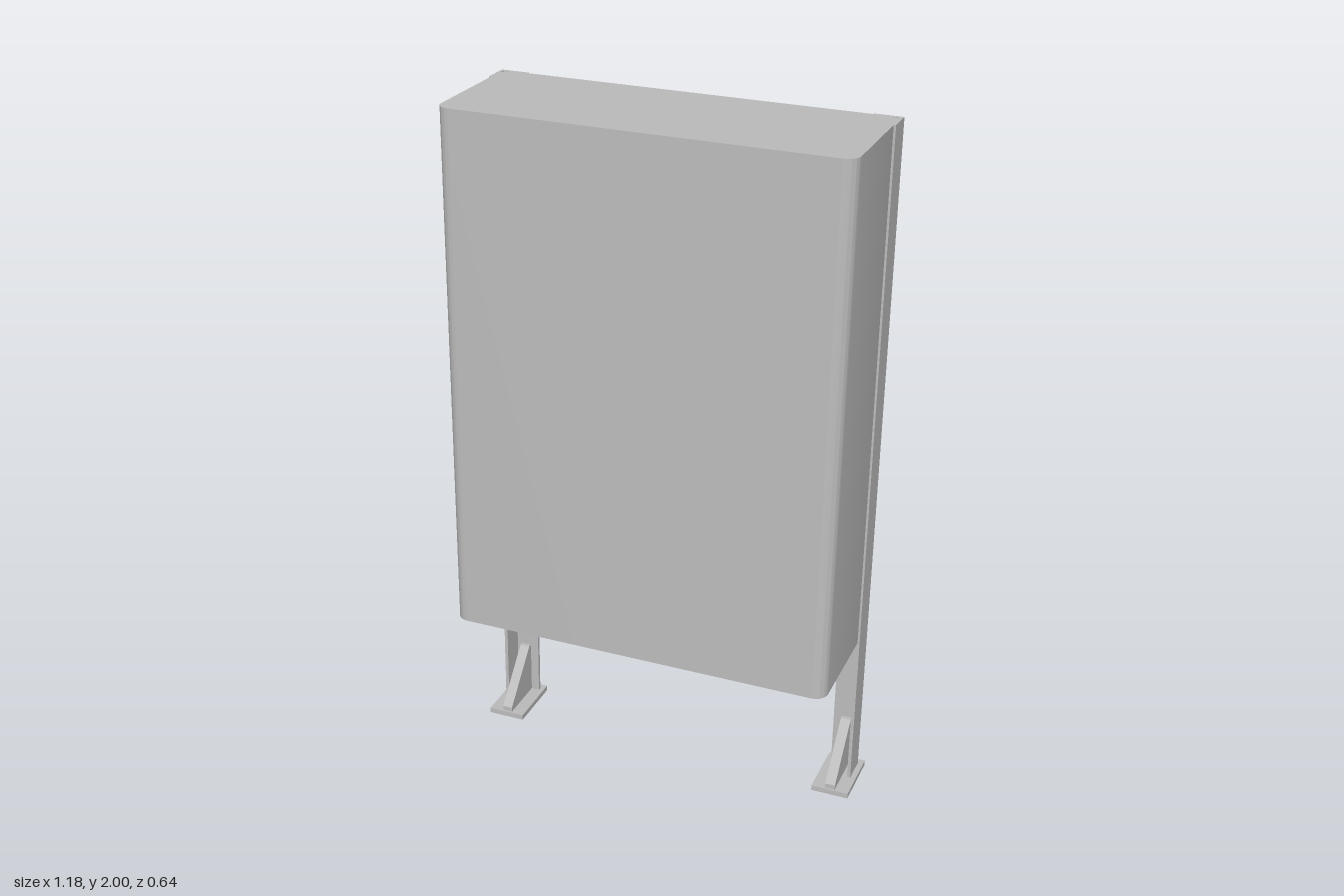
import * as THREE from 'three';
import { toCreasedNormals } from 'three/addons/utils/BufferGeometryUtils.js';

export function createModel() {
  const grey = new THREE.MeshStandardMaterial({ color: 0xbcbcbc });
  grey.name = 'light grey';

  const add = (parent, name, geometry) => {
    const mesh = new THREE.Mesh(geometry, grey);
    mesh.name = name;
    parent.add(mesh);
    return mesh;
  };

  // Extrude a plan outline (x, -z) upwards from y0 to y1.
  const upright = (shape, y0, y1) => {
    const g = new THREE.ExtrudeGeometry(shape, { depth: y1 - y0, bevelEnabled: false, curveSegments: 8 });
    g.rotateX(-Math.PI / 2);
    g.translate(0, y0, 0);
    return toCreasedNormals(g, 0.6);
  };

  const polygon = (points) => new THREE.Shape(points.map(([x, y]) => new THREE.Vector2(x, y)));

  const stand = new THREE.Group();
  stand.name = 'cabinetOnLegs';

  // Cabinet: rounded vertical edges, sharp top and bottom
  const W = 0.555, back = -0.148, front = 0.247, r = 0.037;
  const plan = new THREE.Shape();
  plan.moveTo(-W + r, -front);
  plan.lineTo(W - r, -front);
  plan.absarc(W - r, -front + r, r, -Math.PI / 2, 0);
  plan.lineTo(W, -back - r);
  plan.absarc(W - r, -back - r, r, 0, Math.PI / 2);
  plan.lineTo(-W + r, -back);
  plan.absarc(-W + r, -back - r, r, Math.PI / 2, Math.PI);
  plan.lineTo(-W, -front + r);
  plan.absarc(-W + r, -front + r, r, Math.PI, Math.PI * 1.5);
  add(stand, 'cabinet', upright(plan, 0.486, 1.992));

  // Legs: angle profile, foot plate and gusset on each side
  const outer = 0.561, flange = 0.08, t = 0.01, legBack = 0.154;
  for (const s of [-1, 1]) {
    const leg = new THREE.Group();
    leg.name = s > 0 ? 'leftLeg' : 'rightLeg';
    stand.add(leg);

    const angle = polygon([
      [s * outer, legBack],
      [s * (outer - flange), legBack],
      [s * (outer - flange), legBack - t],
      [s * (outer - t), legBack - t],
      [s * (outer - t), legBack - flange],
      [s * outer, legBack - flange],
    ]);
    add(leg, 'angleProfile', upright(angle, 0.02, 1.992));

    const plate = add(leg, 'footPlate', new THREE.BoxGeometry(0.11, 0.016, 0.18));
    plate.position.set(s * 0.522, 0.014, -0.084);

    const gussetSide = polygon([
      [-0.145, 0.021], [0.0, 0.021], [0.0, 0.036], [-0.132, 0.183], [-0.145, 0.183],
    ]);
    const g = new THREE.ExtrudeGeometry(gussetSide, { depth: 0.03, bevelEnabled: false });
    g.translate(0, 0, -0.015);
    g.rotateY(-Math.PI / 2);
    add(leg, 'gusset', g).position.x = s * 0.521;
  }

  // Whole stand leans back slightly and is turned about the vertical
  stand.rotation.order = 'YXZ';
  stand.rotation.set(-0.035, 0.18, 0);
  stand.position.set(0.008, 0, 0);

  const model = new THREE.Group();
  model.name = 'cabinetStand';
  model.add(stand);
  return model;
}
